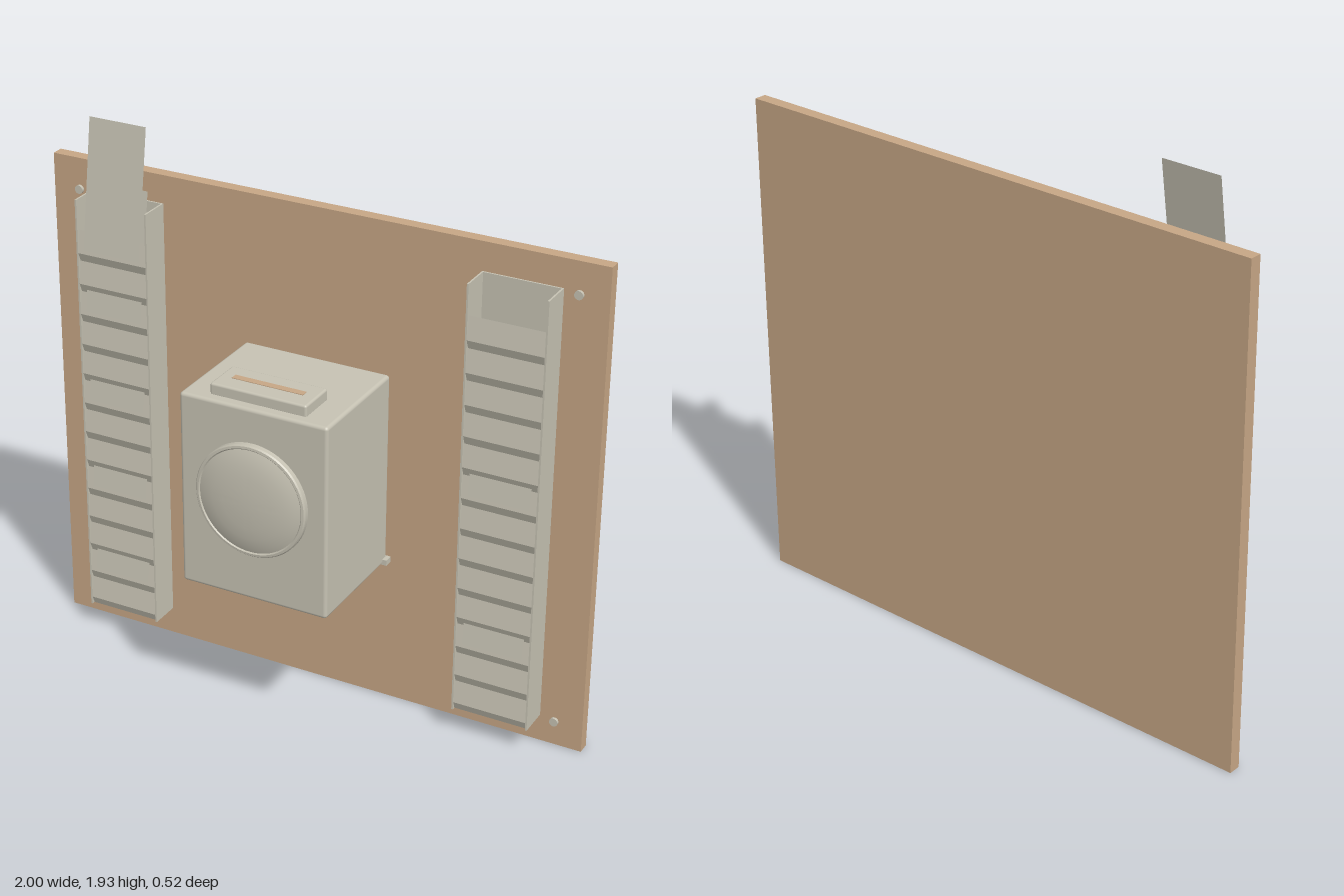
import * as THREE from 'three';
import { RoundedBoxGeometry } from 'three/addons/geometries/RoundedBoxGeometry.js';
import { toCreasedNormals } from 'three/addons/utils/BufferGeometryUtils.js';

const grey = new THREE.MeshStandardMaterial({ color: 0xc6c2b3, side: THREE.DoubleSide });
grey.name = 'paintedMetal';
const wood = new THREE.MeshStandardMaterial({ color: 0xc6a685 });
wood.name = 'wood';

function add(parent, name, geometry, material, x = 0, y = 0, z = 0) {
  const mesh = new THREE.Mesh(geometry, material);
  mesh.name = name;
  mesh.position.set(x, y, z);
  parent.add(mesh);
  return mesh;
}

// box given by its limits on each axis
function box(parent, name, material, [x0, x1], [y0, y1], [z0, z1], radius = 0) {
  const size = [x1 - x0, y1 - y0, z1 - z0];
  const geometry = radius ? new RoundedBoxGeometry(...size, 3, radius) : new THREE.BoxGeometry(...size);
  return add(parent, name, geometry, material, (x0 + x1) / 2, (y0 + y1) / 2, (z0 + z1) / 2);
}

const PITCH = 0.111, SLOTS = 13;

// folded front sheet of a rack: each slat leans back, with a short underside below it
function slatSheet(width) {
  const profile = [];
  for (let k = 0; k < SLOTS; k++) {
    profile.push([1.54 - PITCH * k, -0.118], [1.46 - PITCH * k, -0.106]);
  }
  profile.push([0.1, -0.117]);
  const sheet = new THREE.PlaneGeometry(width, 1, 1, profile.length - 1);
  const p = sheet.attributes.position;
  for (let i = 0; i < p.count; i++) {
    const [y, z] = profile[Math.floor(i / 2)];
    p.setY(i, y);
    p.setZ(i, z);
  }
  const flat = sheet.toNonIndexed();
  flat.computeVertexNormals();
  return flat;
}

function makeRack(name, cx, cardSlots) {
  const rack = new THREE.Group();
  rack.name = name;
  rack.position.x = cx;
  const h = 0.137;
  for (const s of [-1, 1]) {
    const xs = [s * h, s * (h - 0.006)].sort((a, b) => a - b);
    box(rack, 'rackSide', grey, xs, [0.1, 1.65], [-0.217, -0.105]);
  }
  box(rack, 'rackBack', grey, [-h, h], [0.1, 1.65], [-0.217, -0.211]);
  box(rack, 'rackFloor', grey, [-h, h], [0.1, 0.106], [-0.217, -0.117]);
  add(rack, 'slats', slatSheet(2 * h - 0.012), grey);
  // cards resting on the slats, leaning back at the slat angle
  for (const k of cardSlots) {
    const card = add(rack, 'card', new THREE.PlaneGeometry(0.215, 0.455), grey,
      0, 1.7 - PITCH * k, -0.136);
    card.rotation.x = -0.146;
  }
  return rack;
}

export function createModel() {
  const model = new THREE.Group();
  model.name = 'timeClockBoard';

  box(model, 'board', wood, [-1, 1], [0, 1.75], [-0.26, -0.217]);

  // corner screws
  for (const x of [-0.9, 0.9]) {
    for (const y of [0.09, 1.64]) {
      const geometry = new THREE.CylinderGeometry(0.015, 0.015, 0.01, 20).rotateX(Math.PI / 2);
      add(model, 'screw', geometry, grey, x, y, -0.212);
    }
  }

  // card racks
  model.add(makeRack('rightRack', -0.713, [0, 2, 5, 8, 11]));
  model.add(makeRack('leftRack', 0.711, [5, 10]));

  // clock
  const clock = new THREE.Group();
  clock.name = 'clock';
  model.add(clock);
  box(clock, 'clockCase', grey, [-0.267, 0.267], [0.53, 1.222], [-0.217, 0.217], 0.012);
  for (const s of [-1, 1]) {
    box(clock, 'mountingTab', grey, [s * 0.27 - 0.012, s * 0.27 + 0.012], [0.53, 0.55], [-0.217, -0.185]);
  }
  box(clock, 'sideLock', grey, [-0.283, -0.262], [1.04, 1.1], [0.09, 0.135], 0.006);
  box(clock, 'sideDoor', grey, [-0.272, -0.262], [0.6, 1.15], [-0.15, 0.17]);

  // domed dial with its rim
  const dialProfile = [
    [0.2, 0], [0.2, 0.018], [0.196, 0.023], [0.188, 0.024], [0.184, 0.02],
    [0.165, 0.027], [0.13, 0.035], [0.09, 0.04], [0.045, 0.043], [0, 0.044],
  ].map(([r, y]) => new THREE.Vector2(r, y));
  const dial = toCreasedNormals(new THREE.LatheGeometry(dialProfile, 64), 0.5).rotateX(Math.PI / 2);
  add(clock, 'dial', dial, grey, 0, 0.903, 0.216);

  // card reader on top with its slot
  box(clock, 'cardReader', grey, [-0.175, 0.172], [1.215, 1.26], [0.035, 0.18], 0.008);
  box(clock, 'cardSlot', wood, [-0.13, 0.127], [1.257, 1.262], [0.093, 0.118]);

  return model;
}
